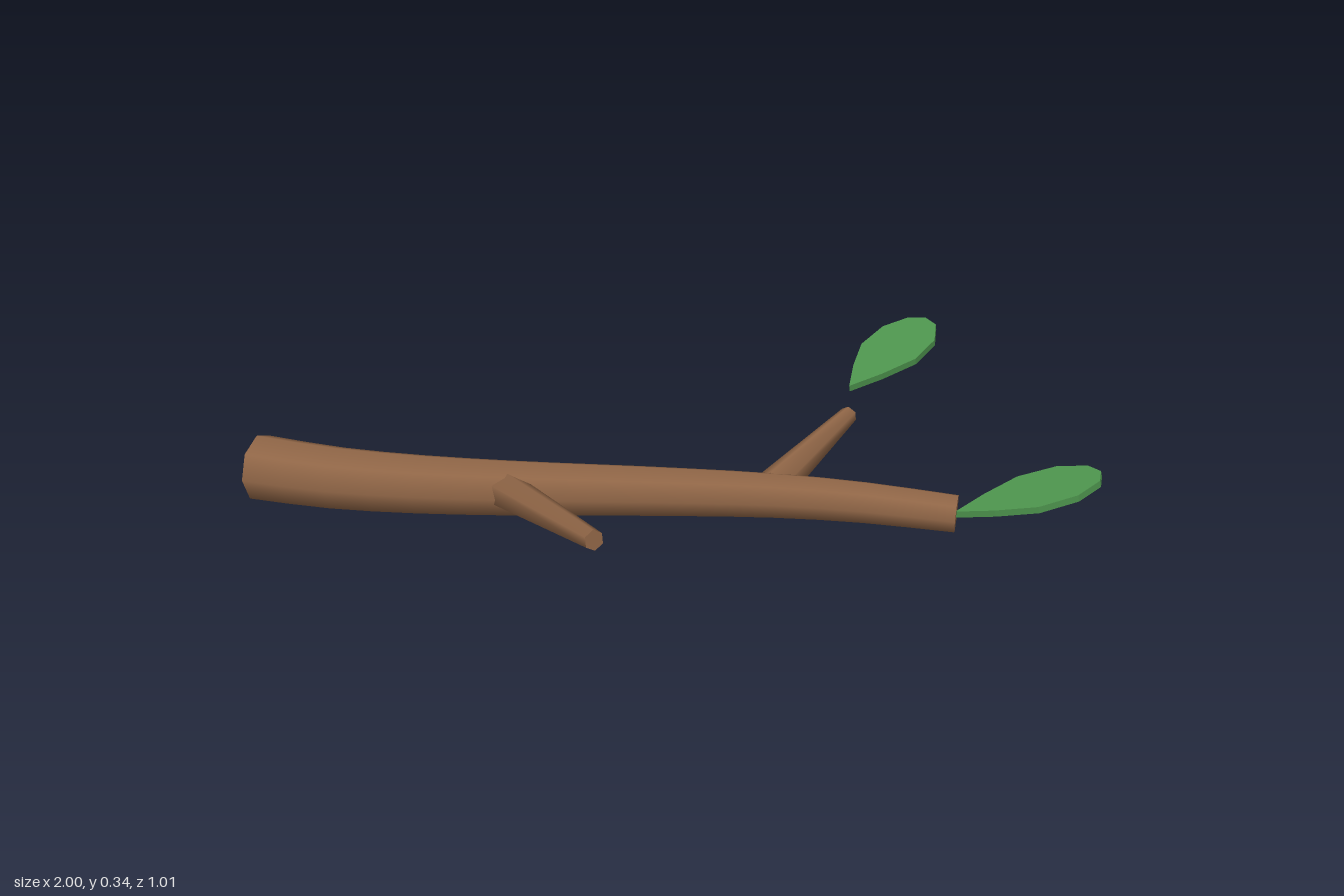
import * as THREE from 'three';

const bark = new THREE.MeshStandardMaterial({ color: 0x8f6546 });
bark.name = 'bark brown';
const leafGreen = new THREE.MeshStandardMaterial({ color: 0x4d944d });
leafGreen.name = 'leaf green';

const V = (x, y, z) => new THREE.Vector3(x, y, z);
const UP = V(0, 1, 0);

// Capped, tapering limb bent along a curve, smooth around its sides
function limb(name, points, r0, r1, sides, segments) {
  const curve = new THREE.CatmullRomCurve3(points);
  const geo = new THREE.CylinderGeometry(r1, r0, 1, sides, segments);
  const pos = geo.attributes.position;
  const nor = geo.attributes.normal;
  const p = V(0, 0, 0), n = V(0, 0, 0), basis = new THREE.Matrix4();
  for (let i = 0; i < pos.count; i++) {
    p.fromBufferAttribute(pos, i);
    n.fromBufferAttribute(nor, i);
    const t = THREE.MathUtils.clamp(p.y + 0.5, 0, 1);
    const along = curve.getTangentAt(t);
    const side = along.clone().cross(UP).normalize();
    basis.makeBasis(side, along, side.clone().cross(along));
    p.setY(0).applyMatrix4(basis).add(curve.getPointAt(t));
    n.applyMatrix4(basis);
    pos.setXYZ(i, p.x, p.y, p.z);
    nor.setXYZ(i, n.x, n.y, n.z);
  }
  const mesh = new THREE.Mesh(geo, bark);
  mesh.name = name;
  return mesh;
}

// Leaf plate: pointed at the stem, broad and rounded at the far end
const half = [[0.08, 0.043], [0.17, 0.08], [0.262, 0.077], [0.325, 0.041]];
const outline = [[0, 0], ...half.map(([u, v]) => [u, -v]), [0.342, 0], ...[...half].reverse()];
const THICK = 0.016;
const leafGeo = new THREE.ExtrudeGeometry(
  new THREE.Shape(outline.map(([u, v]) => new THREE.Vector2(u, v))),
  { depth: THICK, bevelEnabled: false }
).translate(0, 0, -THICK / 2);

function leaf(name, base, dx, dz) {
  const along = V(dx, 0.26 * Math.hypot(dx, dz), dz).normalize();
  const across = UP.clone().cross(along).normalize();
  const mesh = new THREE.Mesh(leafGeo, leafGreen);
  mesh.quaternion.setFromRotationMatrix(
    new THREE.Matrix4().makeBasis(along, across, along.clone().cross(across)));
  mesh.position.copy(base);
  mesh.name = name;
  return mesh;
}

export function createModel() {
  const group = new THREE.Group();
  group.name = 'leafyBranch';
  group.add(
    // Main stem with a gentle S bend
    limb('mainStem', [
      V(-0.985, 0.085, 0.038), V(-0.8, 0.086, 0.077), V(-0.6, 0.089, 0.097), V(-0.36, 0.092, 0.1),
      V(0, 0.095, 0.085), V(0.26, 0.094, 0.076), V(0.46, 0.091, 0.083), V(0.672, 0.087, 0.11),
    ], 0.082, 0.045, 8, 16),
    // Side twigs
    limb('frontTwig', [V(-0.362, 0.098, 0.128), V(-0.1, 0.17, 0.488)], 0.046, 0.023, 6, 1),
    limb('backTwig', [V(0.25, 0.1, 0.052), V(0.422, 0.17, -0.245)], 0.045, 0.022, 6, 1),
    // Leaves
    leaf('endLeaf', V(0.67, 0.087, 0.115), 0.977, -0.21),
    leaf('backLeaf', V(0.42, 0.246, -0.225), 0.568, -0.827)
  );
  return group;
}
